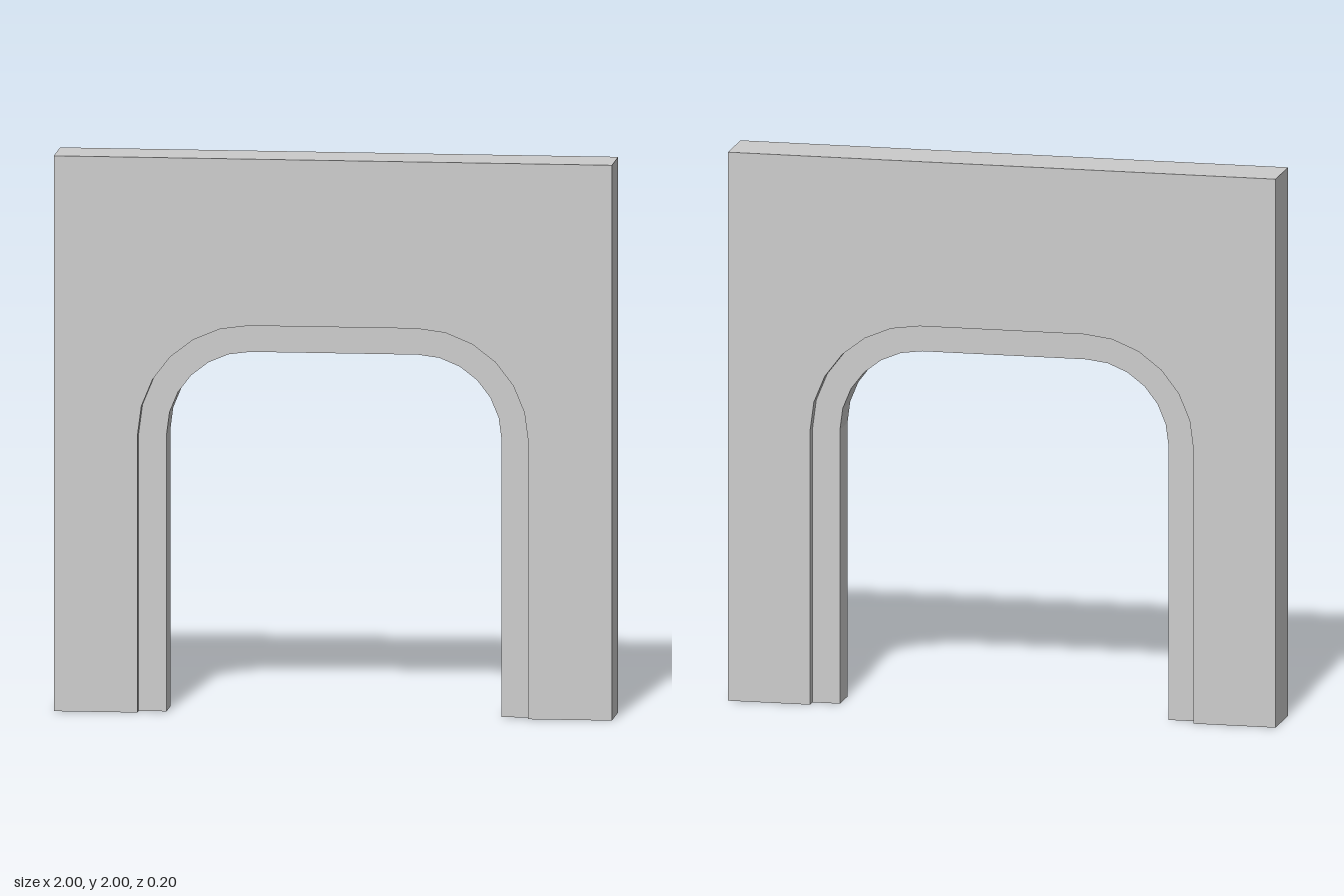
import * as THREE from 'three';

const SEGMENTS = 6;      // facets per rounded corner
const CORNER = 0.3;      // x of the corner centres
const SPRING = 1.0;      // height where the corners begin

// Points of a rounded doorway, from the foot at +x over the top to the foot at -x
function doorway(halfWidth) {
  const r = halfWidth - CORNER;
  const points = [new THREE.Vector2(halfWidth, 0)];
  for (const side of [1, -1]) {
    for (let i = 0; i <= SEGMENTS; i++) {
      const t = i / SEGMENTS;
      const a = (side > 0 ? t : 1 - t) * Math.PI / 2;
      points.push(new THREE.Vector2(side * (CORNER + r * Math.cos(a)), SPRING + r * Math.sin(a)));
    }
  }
  points.push(new THREE.Vector2(-halfWidth, 0));
  return points;
}

export function createModel() {
  const group = new THREE.Group();
  const material = new THREE.MeshStandardMaterial({ color: 0xcccccc, flatShading: true });

  // Extrudes the band between two outlines from z0 to z1
  function addBand(name, outer, inner, z0, z1) {
    const shape = new THREE.Shape([...outer, ...inner.slice().reverse()]);
    const geometry = new THREE.ExtrudeGeometry(shape, { depth: z1 - z0, bevelEnabled: false });
    geometry.translate(0, 0, z0);
    const mesh = new THREE.Mesh(geometry, material);
    mesh.name = name;
    group.add(mesh);
  }

  // Wall panel around the opening
  const wallOutline = [[1, 0], [1, 2], [-1, 2], [-1, 0]].map(([x, y]) => new THREE.Vector2(x, y));
  addBand('wall', wallOutline, doorway(0.7), -0.1, 0.1);

  // Recessed frame: an inner lining and two cheeks, leaving a slot next to the wall
  addBand('frameLining', doorway(0.65), doorway(0.6), -0.06, 0.06);
  addBand('frameFrontCheek', doorway(0.7), doorway(0.65), 0.02, 0.06);
  addBand('frameBackCheek', doorway(0.7), doorway(0.65), -0.06, -0.02);

  return group;
}
